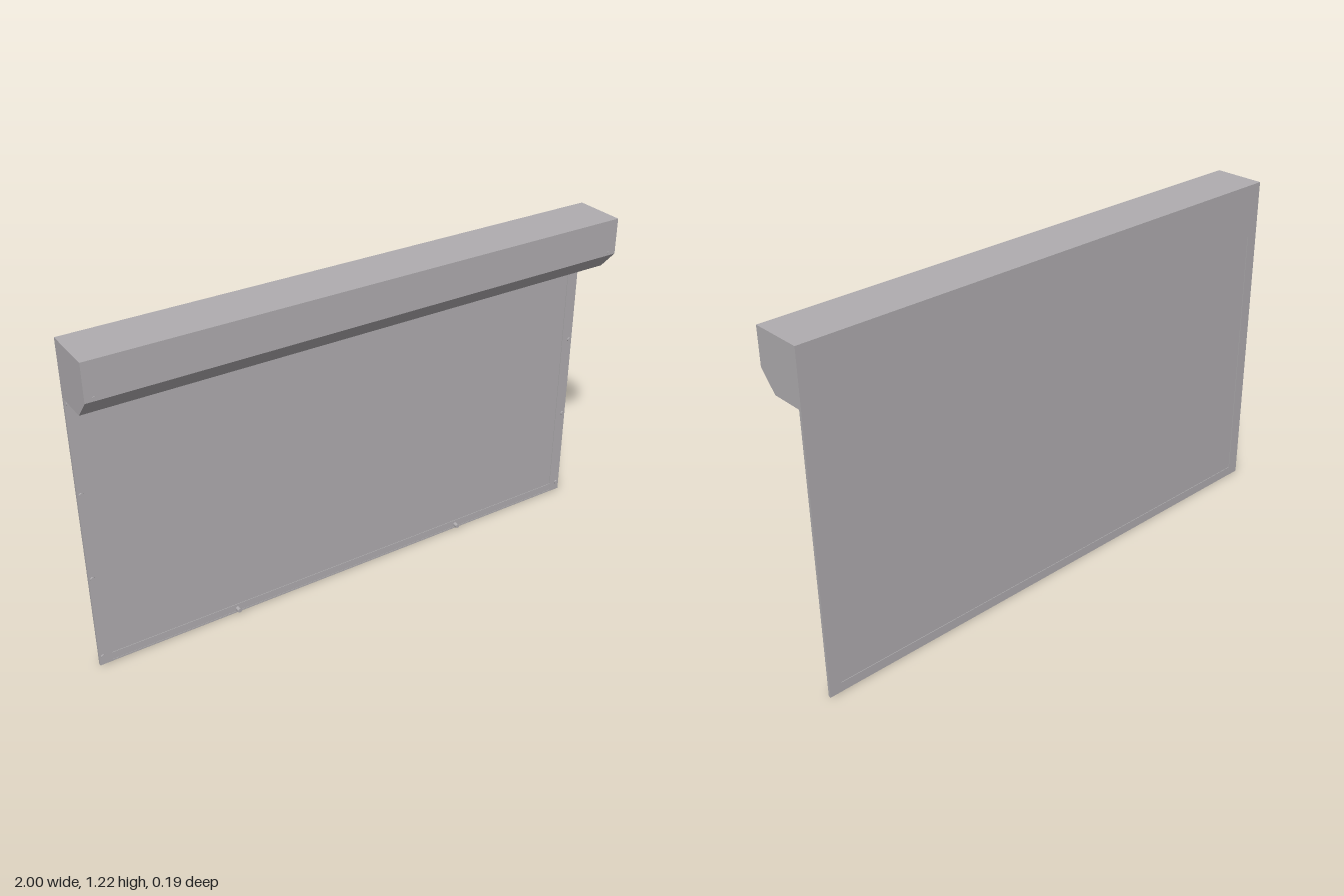
import * as THREE from 'three';

const grey = new THREE.MeshStandardMaterial({ color: 0xb0adb0 });
grey.name = 'painted metal grey';

export function createModel() {
  const model = new THREE.Group();
  model.name = 'rollerScreen';

  const add = (name, geometry, x, y, z) => {
    const mesh = new THREE.Mesh(geometry, grey);
    mesh.name = name;
    mesh.position.set(x, y, z);
    model.add(mesh);
    return mesh;
  };
  const box = (name, w, h, d, x, y, z) => add(name, new THREE.BoxGeometry(w, h, d), x, y, z);
  // Round fixing whose base sits at z and which points forward
  const stud = (name, r, length, x, y, z) =>
    add(name, new THREE.CylinderGeometry(r, r, length, 16).rotateX(Math.PI / 2), x, y, z + length / 2);

  const back = -0.095, railFront = -0.085, under = 1.025;

  // Housing: chamfered profile (z, y) extruded along x
  const profile = new THREE.Shape([
    [back, under], [0.034, under], [0.095, 1.092], [0.095, 1.223], [back, 1.223],
  ].map(([z, y]) => new THREE.Vector2(-z, y)));
  const housing = new THREE.ExtrudeGeometry(profile, { depth: 2, bevelEnabled: false });
  housing.rotateY(Math.PI / 2);
  add('housing', housing, -1, 0, 0);

  // Screen, set in slightly from the rail faces
  box('screen', 1.91, under - 0.03, 0.005, 0, (under + 0.03) / 2, -0.09);

  // Bottom bar with a raised lip along its upper and lower edges
  box('bottomBar', 1.91, 0.035, 0.009, 0, 0.0175, -0.09);
  for (const y of [0.0345, 0.0055]) box('barLip', 1.91, 0.003, 0.002, 0, y, -0.0855);

  for (const side of [-1, 1]) {
    // Side rail with its row of screws
    box('sideRail', 0.045, under, 0.01, side * 0.9775, under / 2, -0.09);
    for (const y of [0.035, 0.358, 0.681, 1.005])
      stud('railScrew', 0.008, 0.005, side * 0.987, y, railFront);
    // Housing screw and bottom bar pin
    stud('housingScrew', 0.006, 0.002, side * 0.97, 1.103, 0.095);
    stud('barPin', 0.008, 0.018, side * 0.478, 0.018, railFront);
  }
  return model;
}
